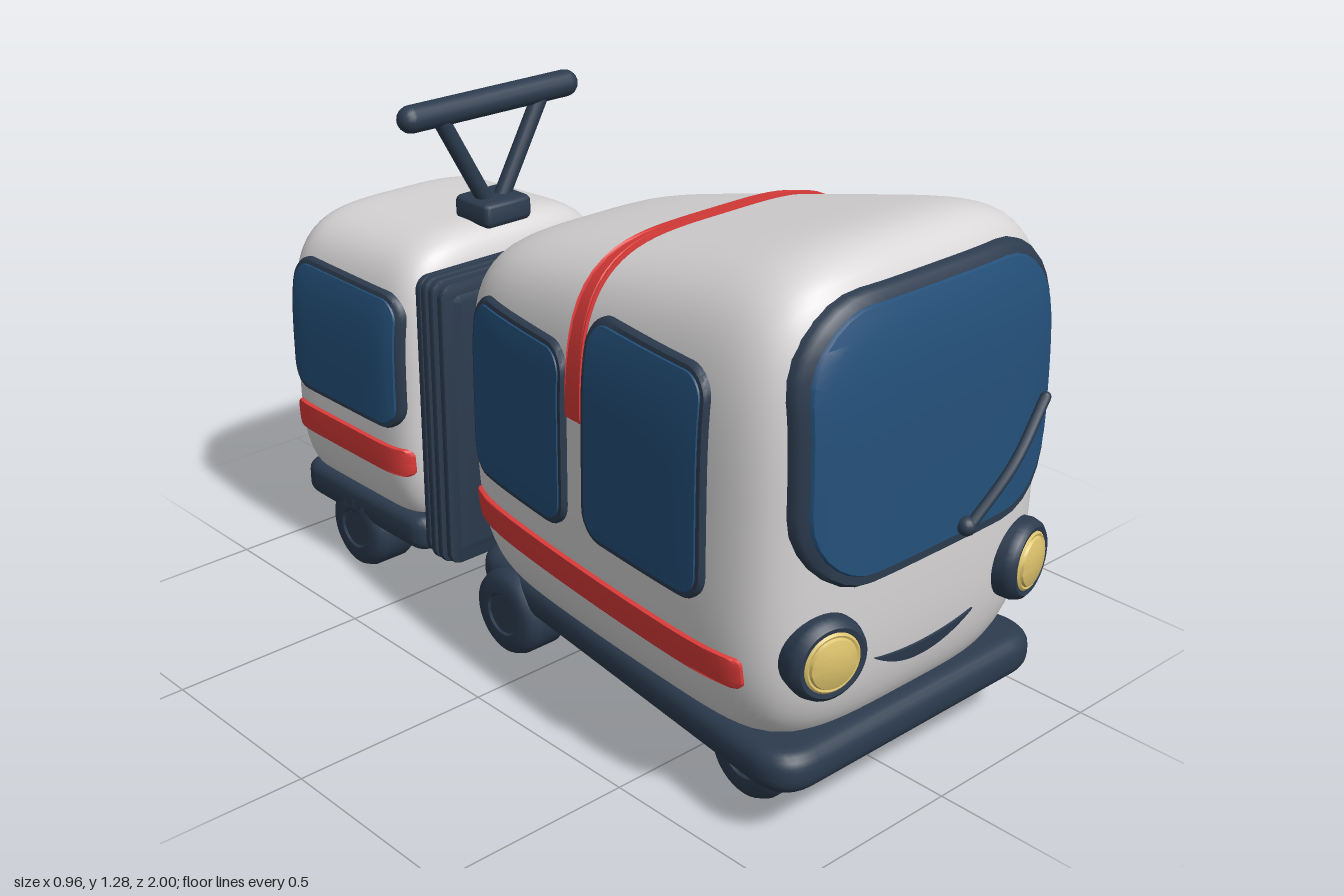
import * as THREE from 'three';
import { mergeVertices, toCreasedNormals } from 'three/addons/utils/BufferGeometryUtils.js';

const mat = (name, color) => Object.assign(new THREE.MeshStandardMaterial({ color }), { name });
const M = {
  shell: mat('pale grey shell', 0xd8d6d7), navy: mat('dark navy trim', 0x2c3b4e),
  glass: mat('blue glass', 0x24507a), red: mat('red stripe', 0xdd3c3a), lamp: mat('yellow lamp', 0xdcc26c),
};

function solve(f, lo, hi) {
  for (let i = 0; i < 36; i++) { const m = (lo + hi) / 2; if (f(m) < 1) lo = m; else hi = m; }
  return lo;
}

// Rounded car shell: |X|^4 + |Y|^4 + |t|^8 = 1, with width and roof varying along z
function shell({ zc, len, yc, bottom, width, roof }) {
  const scaleY = (Y, z) => (Y > 0 ? roof(z) - yc : yc - bottom);
  const f = (X, Y, t) => X ** 4 + Y ** 4 + t ** 8;
  const at = (x, y, z) => f(x / width(z), (y - yc) / scaleY(y - yc, z), (z - zc) / len);
  return {
    side: (y, z) => solve(x => at(x, y, z), 0, 0.6),
    front: (x, y) => solve(z => at(x, y, z), zc, zc + len),
    // point on the cross-section at z in direction angle, raised by d
    arc(angle, z, d) {
      const c = Math.cos(angle), s = Math.sin(angle);
      const r = ((1 - ((z - zc) / len) ** 8) / (c ** 4 + s ** 4)) ** 0.25 * (1 + d / 0.45);
      return [width(z) * c * r, yc + scaleY(s, z) * s * r, z];
    },
    geometry() {
      let g = new THREE.BoxGeometry(2, 2, 2, 28, 28, 32);
      g.deleteAttribute('uv'); g.deleteAttribute('normal');
      g = mergeVertices(g, 1e-4);
      const p = g.attributes.position;
      for (let i = 0; i < p.count; i++) {
        const X = p.getX(i), Y = p.getY(i), T = p.getZ(i);
        const s = solve(k => f(X * k, Y * k, T * k), 0, 1.5), z = zc + len * T * s;
        p.setXYZ(i, width(z) * X * s, yc + scaleY(Y, z) * Y * s, z);
      }
      g.computeVertexNormals();
      return g;
    },
  };
}

// Counter-clockwise rounded rectangle outline with subdivided edges
function roundRect(w, h, r, n = 16) {
  const corners = [[1, -1, -90], [1, 1, 0], [-1, 1, 90], [-1, -1, 180]], key = [], out = [];
  for (const [sx, sy, a0] of corners) for (let k = 0; k <= 7; k++) {
    const a = (a0 + k * 90 / 7) * Math.PI / 180;
    key.push([sx * (w / 2 - r) + r * Math.cos(a), sy * (h / 2 - r) + r * Math.sin(a)]);
  }
  key.forEach((p, i) => {
    const q = key[(i + 1) % key.length], m = i % 8 === 7 ? n : 1;
    for (let k = 0; k < m; k++) out.push([p[0] + (q[0] - p[0]) * k / m, p[1] + (q[1] - p[1]) * k / m]);
  });
  return out;
}

// Plate with the given outline, laid on a surface by place(u, v, height)
function plate(outline, d, place) {
  const rings = [[1, -0.025], [1, d * 0.6], [0.98, d]], N = outline.length, pos = [], idx = [];
  for (let k = 13; k >= 0; k--) rings.push([0.97 * k / 14 + 0.001, d]);
  for (const [s, h] of rings) for (const [u, v] of outline) pos.push(...place(u * s, v * s, h));
  for (let i = 0; i < rings.length - 1; i++) for (let j = 0; j < N; j++) {
    const a = i * N + j, b = i * N + (j + 1) % N;
    idx.push(a, b, a + N, b, b + N, a + N);
  }
  const g = new THREE.BufferGeometry();
  g.setAttribute('position', new THREE.Float32BufferAttribute(pos, 3));
  g.setIndex(idx);
  return toCreasedNormals(g, 0.7);
}

const lathe = (pts, n = 36) =>
  toCreasedNormals(new THREE.LatheGeometry(pts.map(p => new THREE.Vector2(...p)), n), 0.7);

// Horizontal slab from a plan outline in x, z
function slab(shape, top, height, bevel) {
  const g = new THREE.ExtrudeGeometry(shape, {
    depth: height - 2 * bevel, bevelSize: bevel, bevelThickness: bevel, bevelOffset: -bevel,
    bevelSegments: 5, curveSegments: 12,
  });
  g.rotateX(Math.PI / 2).translate(0, top - bevel, 0);
  return toCreasedNormals(g, 0.6);
}

function planShape(zf, wf, zb, wb, r) {
  const s = new THREE.Shape();
  s.moveTo(-wf + r, zf); s.lineTo(wf - r, zf); s.quadraticCurveTo(wf, zf, wf, zf - r);
  s.lineTo(wb, zb + r); s.quadraticCurveTo(wb, zb, wb - r, zb);
  s.lineTo(-wb + r, zb); s.quadraticCurveTo(-wb, zb, -wb, zb + r);
  s.lineTo(-wf, zf - r); s.quadraticCurveTo(-wf, zf, -wf + r, zf);
  return s;
}

export function createModel() {
  const model = new THREE.Group();
  model.name = 'tram';
  const add = (name, geo, m, x = 0, y = 0, z = 0) => {
    const mesh = new THREE.Mesh(geo, m);
    mesh.name = name; mesh.position.set(x, y, z);
    model.add(mesh);
    return mesh;
  };
  const rod = (name, a, b, r) => {
    const A = new THREE.Vector3(...a), B = new THREE.Vector3(...b), dir = B.clone().sub(A);
    const mesh = add(name, new THREE.CapsuleGeometry(r, dir.length(), 6, 16), M.navy);
    mesh.position.copy(A.add(B).multiplyScalar(0.5));
    mesh.quaternion.setFromUnitVectors(new THREE.Vector3(0, 1, 0), dir.normalize());
  };

  // Shells of both cars
  const cab = shell({ zc: 0.325, len: 0.605, yc: 0.705, bottom: 0.145,
    width: z => 0.388 + 0.15 * z - 0.06 * z * z, roof: z => 1.10 + 0.235 * z });
  const wagon = shell({ zc: -0.7125, len: 0.2875, yc: 0.53, bottom: 0.15,
    width: () => 0.345, roof: z => 0.99 + 0.06 * z });
  add('cabShell', cab.geometry(), M.shell);
  add('wagonShell', wagon.geometry(), M.shell);

  // Side windows and stripes, on both sides
  for (const s of [1, -1]) {
    const panel = (name, car, [z0, z1, y0, y1], r, d, m, inset = 0) => {
      const zc = (z0 + z1) / 2, yc = (y0 + y1) / 2;
      const outline = roundRect(Math.abs(z0 - z1) - 2 * inset, y1 - y0 - 2 * inset, r - inset);
      add(name, plate(outline, d, (u, v, h) => {
        const z = zc - s * u;
        return [s * (car.side(yc + v, z) + h), yc + v, z];
      }), m);
    };
    const windows = [[cab, [0.72, 0.315, 0.535, 1.055]], [cab, [0.245, -0.155, 0.51, 0.95]],
      [wagon, [-0.475, -0.925, 0.475, 0.83]]];
    for (const [car, box] of windows) {
      panel('windowFrame', car, box, 0.065, 0.016, M.navy);
      panel('windowGlass', car, box, 0.065, 0.019, M.glass, 0.012);
    }
    panel('cabStripe', cab, [0.81, -0.19, 0.365, 0.44], 0.018, 0.012, M.red);
    panel('wagonStripe', wagon, [-0.465, -0.935, 0.35, 0.425], 0.018, 0.012, M.red);
  }

  // Red band over the cab roof
  add('roofBand', plate(roundRect(2.77, 0.056, 0.004, 40), 0.008,
    (u, v, h) => cab.arc(Math.PI / 2 - u, 0.275 - v, h)), M.red);

  // Windscreen and smile on the front
  const onFront = yc => (u, v, h) => [u, yc + v, cab.front(u, yc + v) + h];
  add('windscreenFrame', plate(roundRect(0.795, 0.625, 0.19), 0.022, onFront(0.8975)), M.navy);
  add('windscreenGlass', plate(roundRect(0.75, 0.58, 0.17), 0.027, onFront(0.8975)), M.glass);
  const smile = [];
  for (let i = 0; i <= 20; i++) { const t = i / 10 - 1; smile.push([0.16 * t, 0.037 - 0.054 * (1 - t * t)]); }
  for (let i = 19; i > 0; i--) { const t = i / 10 - 1; smile.push([0.16 * t, 0.037 - 0.018 * (1 - t * t)]); }
  add('smile', plate(smile, 0.006, onFront(0.343)), M.navy);

  // Headlights
  for (const s of [1, -1]) {
    const parts = [
      ['headlightRim', [[0.088, -0.06], [0.095, -0.01], [0.096, 0.01], [0.09, 0.028], [0.08, 0.036], [0.07, 0.034], [0.064, 0.02]], M.navy],
      ['headlightLens', [[0.069, 0.01], [0.069, 0.034], [0.064, 0.038], [0.059, 0.036], [0.056, 0.042], [0.035, 0.049], [0, 0.052]], M.lamp],
    ];
    for (const [name, pts, m] of parts)
      add(name, lathe(pts).rotateX(Math.PI / 2), m, s * 0.315, 0.447, 0.918).rotation.y = s * 0.22;
  }

  // Wiper
  const wiperPath = new THREE.CatmullRomCurve3([[0.065, 0.63, 0.972], [0.185, 0.742, 0.985], [0.305, 0.855, 0.965]]
    .map(p => new THREE.Vector3(...p)));
  add('wiperArm', new THREE.TubeGeometry(wiperPath, 16, 0.012, 10), M.navy);
  add('wiperPivot', new THREE.SphereGeometry(0.022, 16, 12), M.navy, 0.065, 0.63, 0.965);
  add('wiperTip', new THREE.SphereGeometry(0.012, 12, 8), M.navy, 0.305, 0.855, 0.965);

  // Chassis slabs
  add('cabChassis', slab(planShape(0.93, 0.425, -0.27, 0.3, 0.1), 0.228, 0.1, 0.04), M.navy);
  add('wagonChassis', slab(planShape(-0.435, 0.33, -0.96, 0.33, 0.06), 0.235, 0.095, 0.03), M.navy);

  // Wheels and axles
  const wheel = lathe([[0, -0.062], [0.05, -0.062], [0.055, -0.067], [0.085, -0.067], [0.102, -0.058], [0.11, -0.04],
    [0.11, 0.04], [0.102, 0.058], [0.085, 0.067], [0.055, 0.067], [0.05, 0.062], [0, 0.062]]).rotateZ(Math.PI / 2);
  const axle = new THREE.CylinderGeometry(0.026, 0.026, 0.46, 16).rotateZ(Math.PI / 2);
  for (const z of [0.71, -0.115, -0.73]) {
    add('axle', axle, M.navy, 0, 0.106, z);
    for (const s of [1, -1]) add('wheel', wheel, M.navy, s * 0.263, 0.11, z);
  }

  // Bellows between the cars
  const fold = (w, h, depth, z) => {
    const shape = new THREE.Shape(roundRect(w, h, 0.035, 1).map(p => new THREE.Vector2(...p)));
    const b = depth * 0.3;
    const g = new THREE.ExtrudeGeometry(shape, { depth: depth - 2 * b, bevelSize: b, bevelThickness: b, bevelOffset: -b, bevelSegments: 2 });
    add('bellowsFold', toCreasedNormals(g, 0.5), M.navy, 0, 0.54, z - depth / 2 + b);
  };
  fold(0.645, 0.71, 0.12, -0.35);
  [-0.308, -0.336, -0.364, -0.392].forEach((z, i) => fold(i % 3 ? 0.69 : 0.68, i % 3 ? 0.75 : 0.74, 0.02, z));

  // Current collector on the wagon roof
  add('collectorBase', slab(planShape(-0.455, 0.073, -0.59, 0.073, 0.02), 1.01, 0.065, 0.018), M.navy);
  for (const s of [1, -1]) rod('collectorArm', [s * 0.02, 0.99, -0.52], [s * 0.16, 1.24, -0.52], 0.021);
  rod('collectorBar', [-0.24, 1.248, -0.525], [0.24, 1.248, -0.525], 0.034);

  return model;
}
